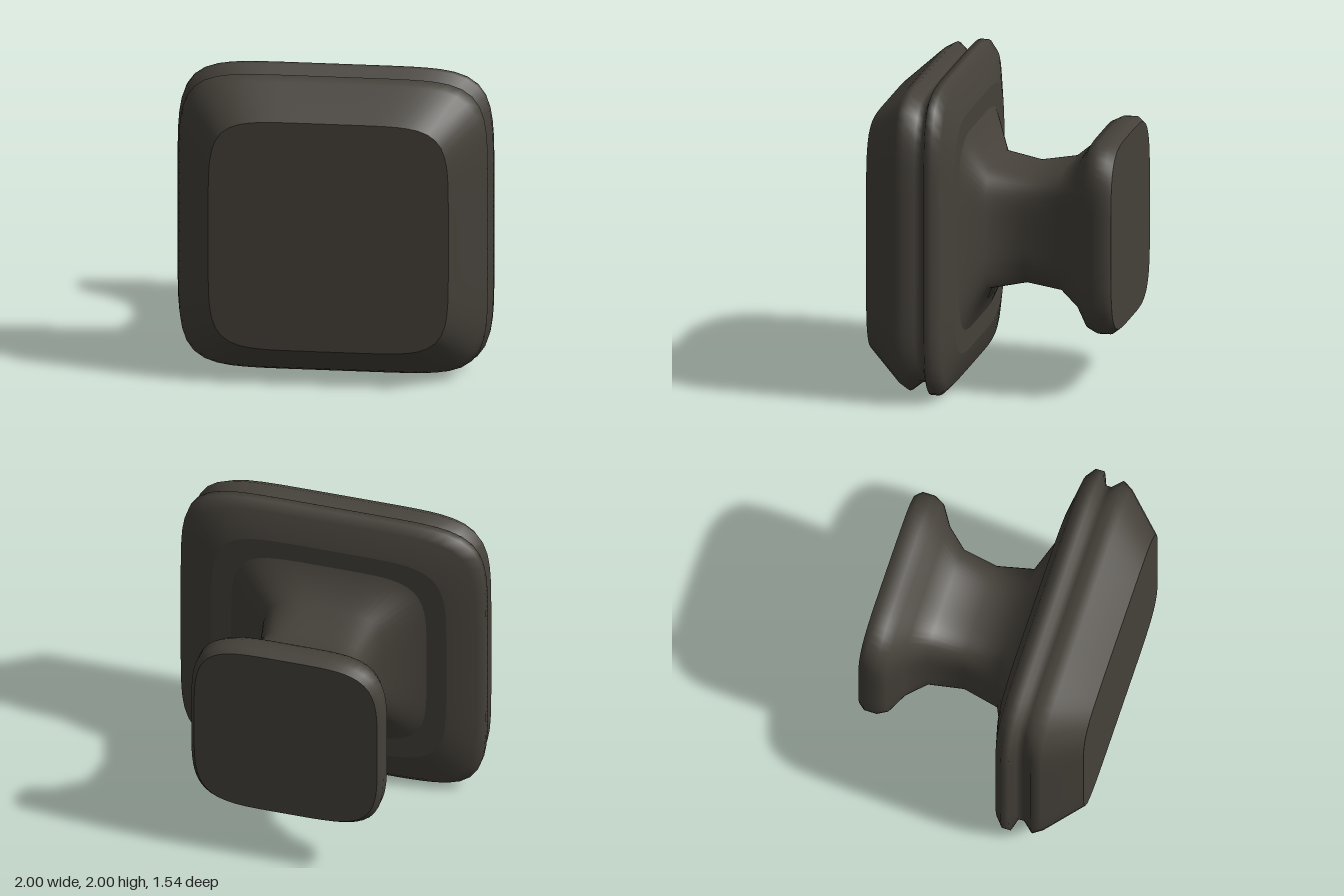
import * as THREE from 'three';

const SEGMENTS = 96;

// Smooth loft along z; each ring is [z, half width, squareness of the rounded square]
function loft(rings) {
  const positions = [];
  const indices = [];
  for (const [z, r, n] of rings) {
    for (let j = 0; j < SEGMENTS; j++) {
      const t = (j / SEGMENTS) * Math.PI * 2;
      const c = Math.cos(t), s = Math.sin(t);
      const k = r / Math.pow(Math.abs(c) ** n + Math.abs(s) ** n, 1 / n);
      positions.push(c * k, 1 + s * k, z);
    }
  }
  for (let i = 0; i < rings.length - 1; i++) {
    for (let j = 0; j < SEGMENTS; j++) {
      const next = (j + 1) % SEGMENTS;
      const a = i * SEGMENTS + j, b = i * SEGMENTS + next;
      const c = a + SEGMENTS, d = b + SEGMENTS;
      indices.push(a, c, b, b, c, d);
    }
  }
  const geometry = new THREE.BufferGeometry();
  geometry.setAttribute('position', new THREE.Float32BufferAttribute(positions, 3));
  geometry.setIndex(indices);
  geometry.computeVertexNormals();
  return geometry;
}

export function createModel() {
  const group = new THREE.Group();
  group.name = 'squareKnob';
  const material = new THREE.MeshStandardMaterial({ color: 0x45413a });

  // Separate surfaces keep the edges between them sharp
  const parts = {
    // Flat front of the knob
    frontFace: [[0.77, 0, 6], [0.77, 0.76, 6]],
    // Bevelled pad, groove and rear rim
    knobHead: [
      [0.77, 0.76, 6], [0.55, 0.95, 6.3], [0.49, 0.98, 6.5], [0.425, 0.93, 6.5],
      [0.38, 0.93, 6.5], [0.35, 1, 6.5], [0.3, 1, 6.5], [0.25, 0.95, 6.3], [0.2, 0.77, 5.5],
    ],
    // Flat ring behind the head
    rearRing: [[0.2, 0.77, 5.5], [0.2, 0.64, 5]],
    // Waisted neck flaring into the base
    neckAndBase: [
      [0.2, 0.64, 5], [0.08, 0.4, 4.5], [-0.155, 0.355, 4.5], [-0.385, 0.39, 4.5],
      [-0.51, 0.49, 4.5], [-0.585, 0.6, 4.5], [-0.65, 0.63, 4.5], [-0.73, 0.63, 4.5],
      [-0.77, 0.6, 4.5],
    ],
    // Flat mounting face at the back
    mountingFace: [[-0.77, 0.6, 4.5], [-0.77, 0, 4.5]],
  };

  for (const [name, rings] of Object.entries(parts)) {
    const mesh = new THREE.Mesh(loft(rings), material);
    mesh.name = name;
    group.add(mesh);
  }
  return group;
}
